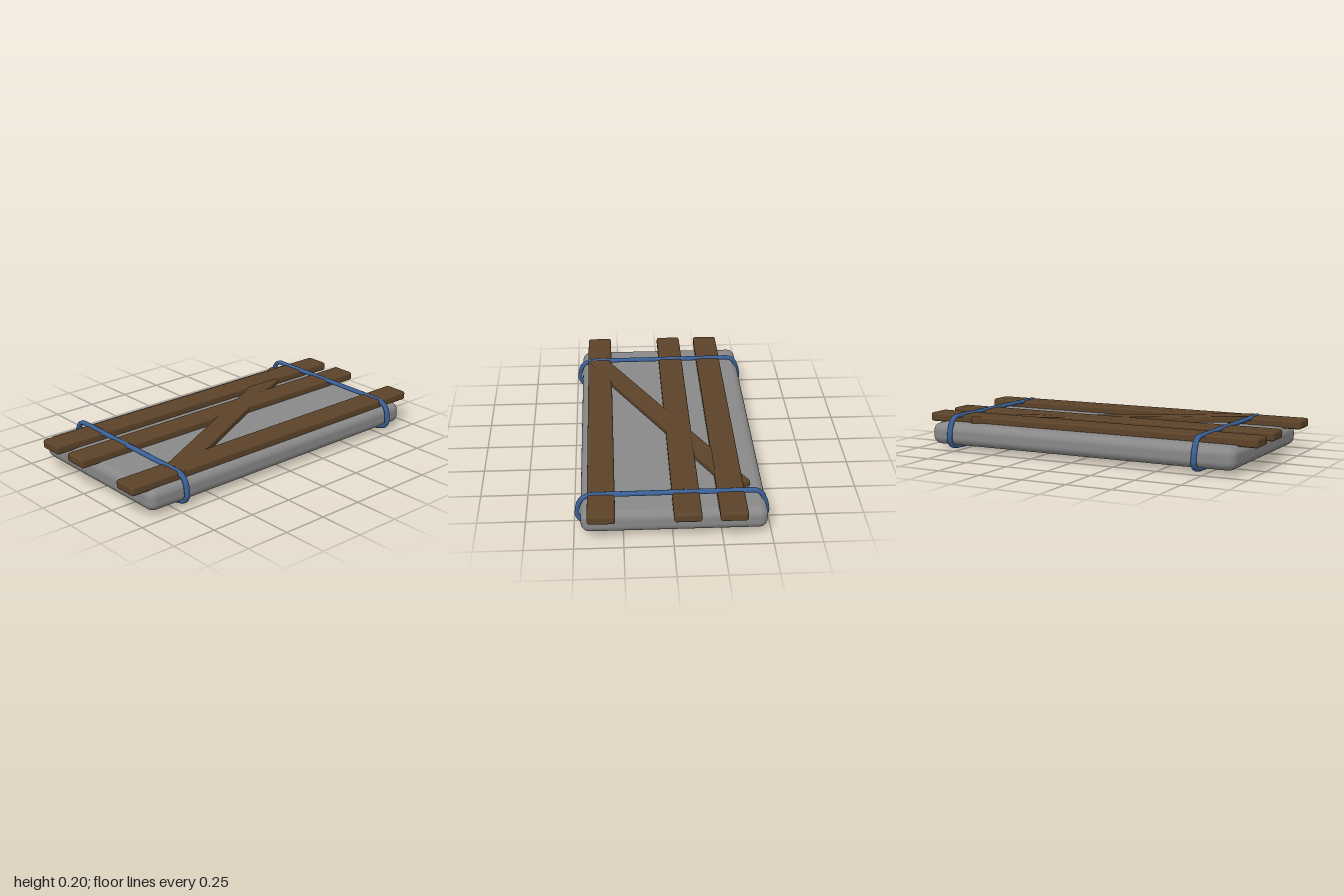
import * as THREE from 'three';
import { RoundedBoxGeometry } from 'three/addons/geometries/RoundedBoxGeometry.js';

const paint = (name, color) => {
  const m = new THREE.MeshStandardMaterial({ color });
  m.name = name;
  return m;
};

export function createModel() {
  const model = new THREE.Group();
  const grey = paint('grey padding', 0x888888);
  const brown = paint('brown wood', 0x5c4329);
  const blue = paint('blue strap', 0x3a5f95);

  const add = (name, geometry, material, x, y, z) => {
    const mesh = new THREE.Mesh(geometry, material);
    mesh.name = name;
    mesh.position.set(x, y, z);
    model.add(mesh);
    return mesh;
  };

  // Soft slab
  add('slab', new RoundedBoxGeometry(0.945, 0.12, 1.835, 4, 0.045), grey, -0.008, 0.09, -0.002);

  // Three long planks
  for (const [name, x] of [['rightPlank', -0.3], ['middlePlank', -0.07], ['leftPlank', 0.36]]) {
    add(name, new RoundedBoxGeometry(0.14, 0.05, 2, 3, 0.014), brown, x, 0.165, 0);
  }

  // Diagonal brace, slightly raised towards the front
  const back = new THREE.Vector3(-0.359, 0.167, -0.722);
  const front = new THREE.Vector3(0.382, 0.175, 0.706);
  const mid = back.clone().lerp(front, 0.5);
  const brace = add('diagonalBrace',
    new RoundedBoxGeometry(0.115, 0.035, back.distanceTo(front), 2, 0.008),
    brown, mid.x, mid.y, mid.z);
  brace.lookAt(front);

  // Straps looped around the slab and planks
  const loop = [
    [-0.3, 0.016], [0.3, 0.015], [0.41, 0.021], [0.462, 0.038], [0.483, 0.07], [0.476, 0.13],
    [0.455, 0.165], [0.42, 0.18], [0.37, 0.184], [-0.36, 0.188], [-0.425, 0.187], [-0.457, 0.168],
    [-0.48, 0.115], [-0.487, 0.062], [-0.47, 0.033], [-0.43, 0.02],
  ].map(([x, y]) => new THREE.Vector3(x, y, 0));
  const path = new THREE.CatmullRomCurve3(loop, true, 'catmullrom', 0.3);
  const strapShape = new THREE.TubeGeometry(path, 160, 0.0125, 10, true).scale(1, 1, 1.3);
  add('frontStrap', strapShape, blue, 0, 0, 0.7);
  add('backStrap', strapShape, blue, 0, 0, -0.79);

  return model;
}
